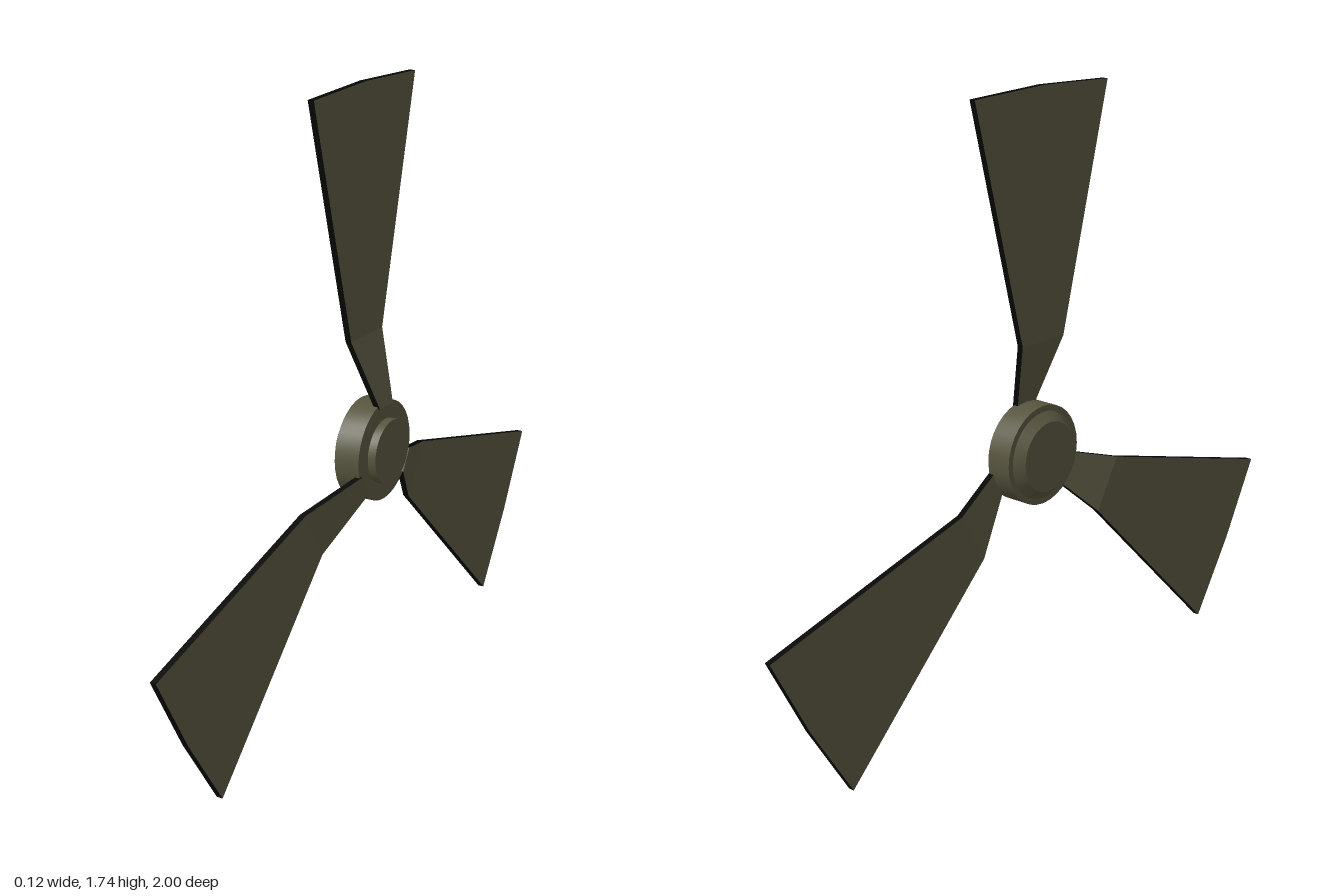
import * as THREE from 'three';
import { toCreasedNormals } from 'three/addons/utils/BufferGeometryUtils.js';

const olive = new THREE.MeshStandardMaterial({ color: 0x56543e });
olive.name = 'olive paint';
const black = new THREE.MeshStandardMaterial({ color: 0x060605 });
black.name = 'black edge';

const HUB_Y = 0.73;

// Blade stations from root to tip: radius at the edges, radius at the middle, half width, x offset
const STATIONS = [
  [0.13, 0.13, 0.035, 0.032],
  [0.325, 0.325, 0.083, -0.03],
  [1.005, 1.015, 0.26, -0.03],
];
const HALF_THICK = 0.009;

// Bent blade: olive faces (group 0) and black rim (group 1)
function bladeGeometry() {
  const pos = [];
  const point = (i, col, side) => {
    const [edgeR, midR, half, x] = STATIONS[i];
    return [x + side * HALF_THICK, col === 0 ? midR : edgeR, col * half];
  };
  const quad = (a, b, c, d) => pos.push(...a, ...b, ...c, ...a, ...c, ...d);

  for (let i = 0; i < 2; i++) {
    for (const c of [-1, 0]) {
      quad(point(i, c, 1), point(i + 1, c, 1), point(i + 1, c + 1, 1), point(i, c + 1, 1));
      quad(point(i, c, -1), point(i, c + 1, -1), point(i + 1, c + 1, -1), point(i + 1, c, -1));
    }
  }
  const faceCount = pos.length / 3;

  // Rim runs around the outline
  const rim = [[0, -1], [1, -1], [2, -1], [2, 0], [2, 1], [1, 1], [0, 1], [0, 0]];
  rim.forEach(([i, c], k) => {
    const [j, d] = rim[(k + 1) % rim.length];
    quad(point(i, c, 1), point(i, c, -1), point(j, d, -1), point(j, d, 1));
  });

  const geo = new THREE.BufferGeometry();
  geo.setAttribute('position', new THREE.Float32BufferAttribute(pos, 3));
  geo.addGroup(0, faceCount, 0);
  geo.addGroup(faceCount, pos.length / 3 - faceCount, 1);
  geo.computeVertexNormals();
  return geo;
}

// Turned part whose axis runs along x; profile is [x, radius]
function turned(name, profile) {
  const points = profile.map(([x, r]) => new THREE.Vector2(r, x));
  const geo = new THREE.LatheGeometry(points, 32).rotateZ(-Math.PI / 2);
  const mesh = new THREE.Mesh(toCreasedNormals(geo, 0.4), olive);
  mesh.name = name;
  return mesh;
}

export function createModel() {
  const model = new THREE.Group();
  model.name = 'propeller';
  const rotor = new THREE.Group();
  rotor.name = 'rotor';
  rotor.position.y = HUB_Y;
  model.add(rotor);

  // Hub drum with a tapered cap on one side and a raised disc on the other
  rotor.add(
    turned('hubDrum', [[-0.04, 0], [-0.04, 0.142], [0.035, 0.142], [0.035, 0]]),
    turned('taperedCap', [[-0.064, 0], [-0.064, 0.1], [-0.04, 0.125], [-0.04, 0]]),
    turned('raisedDisc', [[0.035, 0], [0.035, 0.092], [0.059, 0.092], [0.059, 0]]),
  );

  // Three blades
  const geo = bladeGeometry();
  for (let i = 0; i < 3; i++) {
    const blade = new THREE.Mesh(geo, [olive, black]);
    blade.name = `blade${i + 1}`;
    blade.rotation.x = (i * Math.PI * 2) / 3;
    rotor.add(blade);
  }
  return model;
}
